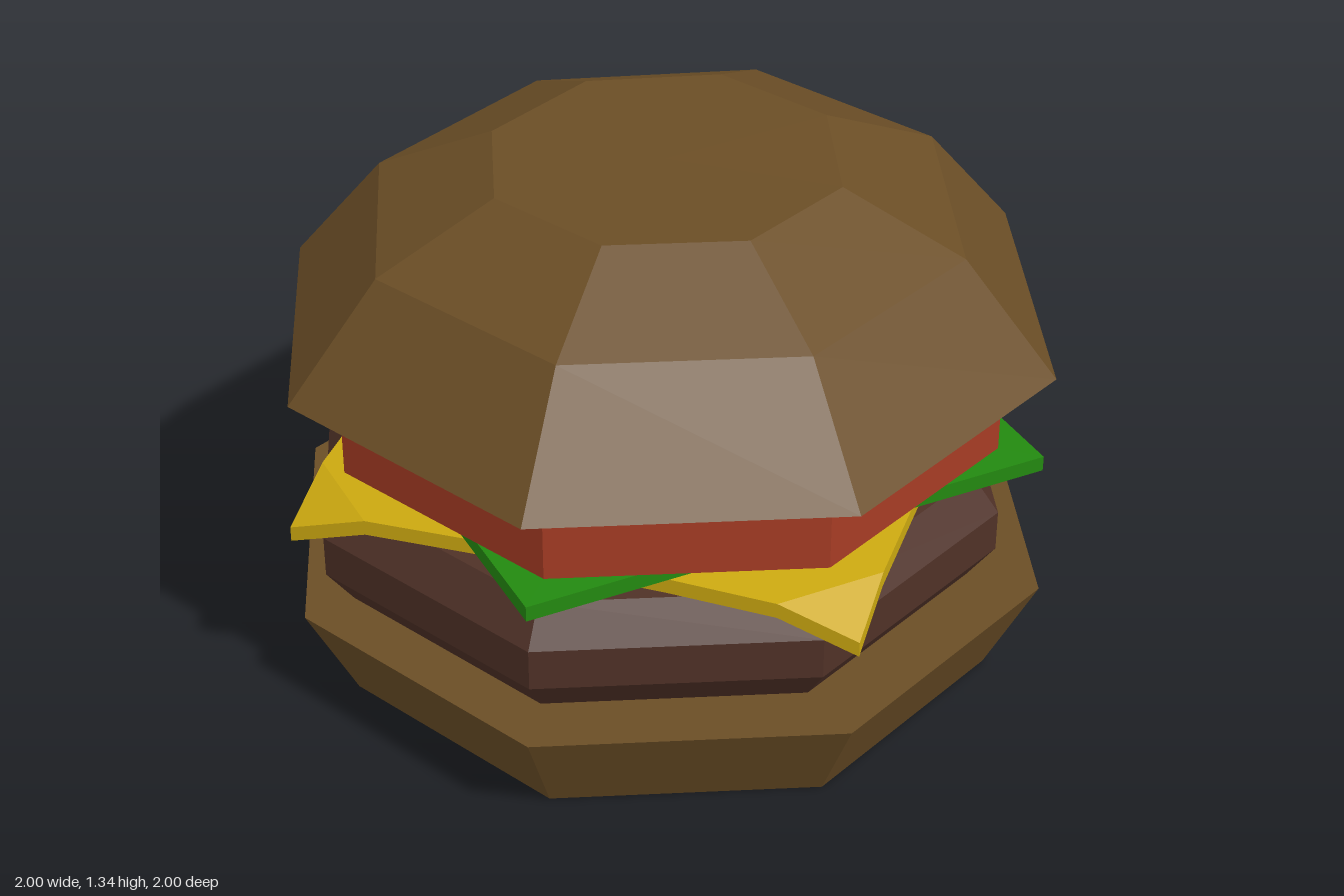
import * as THREE from 'three';

const mat = (name, color) => {
  const m = new THREE.MeshStandardMaterial({ color });
  m.name = name;
  return m;
};

// Facet a geometry with one normal per face
function facet(geometry) {
  const g = geometry.index ? geometry.toNonIndexed() : geometry;
  g.computeVertexNormals();
  return g;
}

// Closed low-poly layer turned from [radius, height] pairs, bottom to top
function layer(profile, sides = 8) {
  const pts = profile.map(([r, y]) => new THREE.Vector2(r, y));
  pts.unshift(new THREE.Vector2(0, profile[0][1]));
  pts.push(new THREE.Vector2(0, profile[profile.length - 1][1]));
  return new THREE.LatheGeometry(pts, sides);
}

// Lift the back half, a little less on the right side
function liftBack(geometry, slopeAt) {
  const p = geometry.attributes.position;
  for (let i = 0; i < p.count; i++) {
    const x = p.getX(i), y = p.getY(i), z = p.getZ(i);
    if (z > -0.01) continue;
    p.setY(i, y + slopeAt(y) * Math.hypot(x, z) * (x < -0.1 ? 0.5 : 1));
  }
  return geometry;
}

// Square slice whose four corners droop along diagonal folds
function cheeseGeometry(half, inner, outer, thick) {
  const top = (x, z) => {
    const d = Math.abs(x) + Math.abs(z);
    if (d > half + outer + 0.01) return 0.543;
    return d > half + inner + 0.01 ? 0.607 : 0.615;
  };
  const out = [];
  const tri = (a, b, c) => out.push(...a, ...b, ...c);
  const onRim = (a, b) => [0, 1].some(k => a[k] === b[k] && Math.abs(a[k]) === half);
  // Panel with corners counter-clockwise seen from above
  const panel = (corners) => {
    const up = corners.map(([x, z]) => [x, top(x, z), z]);
    const low = up.map(([x, y, z]) => [x, y - thick, z]);
    for (let i = 1; i < up.length - 1; i++) {
      tri(up[0], up[i], up[i + 1]);
      tri(low[0], low[i + 1], low[i]);
    }
    for (let i = 0; i < up.length; i++) {
      const j = (i + 1) % up.length;
      if (!onRim(corners[i], corners[j])) continue;
      tri(up[i], low[i], low[j]);
      tri(up[i], low[j], up[j]);
    }
  };
  const centre = [];
  for (let q = 0; q < 4; q++) {
    const turn = ([x, z]) => [[x, z], [z, -x], [-x, -z], [-z, x]][q];
    const [a, b, c, d, tip] = [[inner, half], [half, inner], [half, outer], [outer, half], [half, half]].map(turn);
    centre.push(a, b);
    panel([a, d, c, b]);
    panel([d, tip, c]);
  }
  panel(centre);
  const g = new THREE.BufferGeometry();
  g.setAttribute('position', new THREE.Float32BufferAttribute(out, 3));
  return g;
}

export function createModel() {
  const group = new THREE.Group();
  group.name = 'burger';
  const bun = mat('bun brown', 0x6b4e26);
  const meat = mat('patty brown', 0x4f3127);
  const cheese = mat('cheese yellow', 0xcca910);
  const green = mat('lettuce green', 0x238910);
  const red = mat('tomato red', 0xa63c24);

  const add = (name, geometry, material) => {
    const mesh = new THREE.Mesh(facet(geometry), material);
    mesh.name = name;
    group.add(mesh);
    return mesh;
  };

  add('bottomBun', layer([[0.87, 0], [1, 0.262]]), bun);

  // Patty sits slightly off centre
  const patty = add('patty', layer([[0.84, 0.264], [0.91, 0.36], [0.91, 0.47], [0.84, 0.566]]), meat);
  patty.position.x = -0.028;

  add('cheese', cheeseGeometry(0.72, 0.25, 0.52, 0.04), cheese);
  add('lettuce', layer([[0.985, 0.62], [0.985, 0.66]], 4), green);

  const tomato = layer([[0.87, 0.661], [0.87, 0.886]]);
  add('tomato', liftBack(tomato, y => (y < 0.8 ? 0.038 : 0.015)), red);

  const crown = layer([[1, 0.888], [0.76, 1.178], [0.45, 1.32]]);
  add('topBun', liftBack(crown, () => 0.035), bun);

  return group;
}
